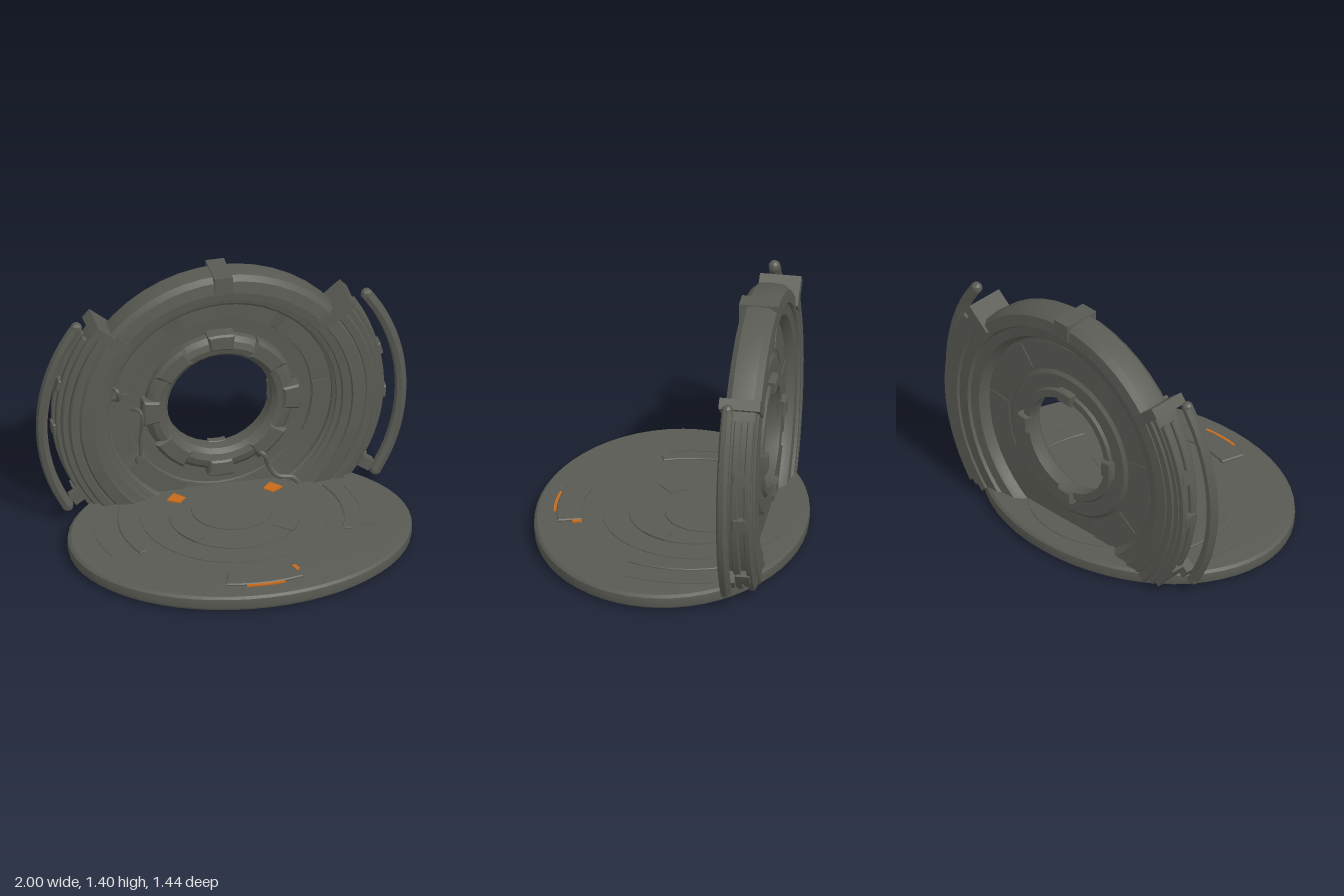
import * as THREE from 'three';
import { toCreasedNormals } from 'three/addons/utils/BufferGeometryUtils.js';

const CY = 0.6;      // height of the gate's centre
const RAD = Math.PI / 180;

export function createModel() {
  const model = new THREE.Group();
  const metal = new THREE.MeshStandardMaterial({ color: 0x5a5a54 });
  metal.name = 'dark metal';
  const orange = new THREE.MeshStandardMaterial({ color: 0xc56a1c });
  orange.name = 'orange paint';

  function add(name, geo, mat = metal, parent = model) {
    const mesh = new THREE.Mesh(toCreasedNormals(geo, 0.5), mat);
    mesh.name = name;
    parent.add(mesh);
    return mesh;
  }
  const lathe = (pts, seg) => new THREE.LatheGeometry(pts.map(p => new THREE.Vector2(...p)), seg);

  // ring of [radius, z] points around the gate axis, flattened where it meets the ground
  function gateRing(name, pts, seg) {
    const geo = lathe(pts, seg).rotateX(Math.PI / 2).translate(0, CY, 0);
    const p = geo.attributes.position;
    for (let i = 0; i < p.count; i++) p.setY(i, Math.max(0.01, p.getY(i)));
    return add(name, geo);
  }

  // curved slab in the xy plane, angles in degrees
  function arcSlab(r0, r1, a0, a1, z0, z1, bevel = 0) {
    const shape = new THREE.Shape();
    shape.absarc(0, 0, r1 - bevel, a0 * RAD, a1 * RAD, false);
    shape.absarc(0, 0, r0 + bevel, a1 * RAD, a0 * RAD, true);
    shape.closePath();
    return new THREE.ExtrudeGeometry(shape, {
      depth: z1 - z0 - 2 * bevel, curveSegments: Math.max(4, Math.ceil((a1 - a0) / 5)),
      bevelEnabled: bevel > 0, bevelSize: bevel, bevelThickness: bevel, bevelSegments: 1,
    }).translate(0, 0, z0 + bevel);
  }
  const gateArc = (name, ...a) => add(name, arcSlab(...a).translate(0, CY, 0));
  const floorArc = (name, mat, cz, ...a) =>
    add(name, arcSlab(...a).rotateX(-Math.PI / 2).translate(0, 0, cz), mat);

  function tube(name, pts, r) {
    const curve = new THREE.CatmullRomCurve3(pts.map(p => new THREE.Vector3(...p)));
    return add(name, new THREE.TubeGeometry(curve, 20, r, 7));
  }
  function box(name, w, h, d, x, y, z, turn = 0) {
    const m = add(name, new THREE.BoxGeometry(w, h, d));
    m.position.set(x, y, z);
    m.rotation.z = turn * RAD;
    return m;
  }

  // oval base
  add('base', lathe([[0, 0.004], [0.5, 0.004], [0.505, 0], [0.88, 0], [0.89, 0.018], [0.91, 0.022],
    [0.915, 0.05], [0.912, 0.075], [0.895, 0.087], [0.8, 0.09], [0, 0.09]], 56).scale(1, 1, 0.72 / 0.915));

  // stepped floor discs
  [[0.5, 0.094, -0.13], [0.35, 0.1, -0.12], [0.22, 0.106, -0.18]].forEach(([r, top, z], i) => {
    add('floorDisc' + (i + 1), new THREE.CylinderGeometry(r - 0.006, r, 0.06, 48).translate(0, top - 0.03, z));
  });
  for (const a of [0, 180]) {
    floorArc('floorRail', metal, -0.1, 0.57, 0.62, a - 23, a + 23, 0.08, 0.099, 0.004);
    floorArc('floorPlate', metal, -0.1, 0.66, 0.76, a - 18, a + 18, 0.08, 0.093);
  }
  for (const a of [-150, -30]) floorArc('floorSeamPlate', metal, -0.12, 0.23, 0.345, a - 12, a + 12, 0.09, 0.104);

  // front step and painted floor marks
  floorArc('frontStep', metal, -0.13, 0.605, 0.735, -106, -74, 0.08, 0.104, 0.006);
  floorArc('stepStripe', orange, -0.13, 0.735, 0.75, -98, -82, 0.092, 0.1);
  floorArc('stepCornerMark', orange, -0.13, 0.61, 0.66, -73.5, -71.5, 0.092, 0.1);
  for (const a of [42, 138]) floorArc('floorMark', orange, -0.12, 0.31, 0.385, a - 6, a + 6, 0.097, 0.105);

  // main gate: outer frame and recessed web with a round opening
  gateRing('gateFrame', [
    [0.62, -0.53], [0.635, -0.55], [0.69, -0.555], [0.7, -0.57], [0.765, -0.565], [0.79, -0.53],
    [0.795, -0.47], [0.79, -0.41], [0.765, -0.38], [0.7, -0.37], [0.695, -0.385], [0.65, -0.39],
    [0.645, -0.405], [0.62, -0.41], [0.605, -0.46], [0.605, -0.5], [0.62, -0.53]], 48);
  gateRing('gateWeb', [
    [0.28, -0.52], [0.41, -0.52], [0.43, -0.505], [0.62, -0.5], [0.62, -0.455], [0.5, -0.47],
    [0.495, -0.478], [0.41, -0.485], [0.28, -0.485], [0.28, -0.52]], 48);
  gateRing('innerTrim', [
    [0.6, -0.47], [0.625, -0.47], [0.625, -0.425], [0.615, -0.42], [0.6, -0.43], [0.6, -0.47]], 48);

  // padded collar around the opening
  gateRing('collar', [
    [0.28, -0.535], [0.32, -0.535], [0.335, -0.515], [0.405, -0.49], [0.4, -0.455], [0.375, -0.43],
    [0.34, -0.42], [0.305, -0.43], [0.283, -0.455], [0.278, -0.49], [0.28, -0.535]], 32);
  for (let a = 0; a < 360; a += 90) {
    gateArc('collarKeystone', 0.335, 0.425, a - 8.5, a + 8.5, -0.5, -0.405, 0.01);
    gateArc('collarBackClamp', 0.275, 0.345, a - 8, a + 8, -0.56, -0.51, 0.008);
    gateArc('collarSleeve', 0.3, 0.41, a + 32, a + 58, -0.5, -0.415, 0.018);
  }

  // raised panels on the web, front and back
  for (const [a0, a1] of [[-28, 6], [12, 52], [58, 112], [122, 160], [168, 208], [215, 250]]) {
    gateArc('webPanel', 0.5, 0.6, a0, a1, -0.48, -0.456);
    gateArc('webBackPanel', 0.45, 0.59, a0, a1, -0.51, -0.506);
  }

  // top block
  box('topBlock', 0.1, 0.1, 0.212, 0, 1.347, -0.47);

  for (const s of [1, -1]) {
    const arc = (name, r0, r1, a0, a1, ...z) =>
      s > 0 ? gateArc(name, r0, r1, a0, a1, ...z) : gateArc(name, r0, r1, 180 - a1, 180 - a0, ...z);
    // stacked side shells with grooves between
    arc('sideShellInner', 0.77, 0.825, -43, 39, -0.57, -0.385, 0.008);
    arc('sideShellMiddle', 0.815, 0.86, -40, 37, -0.56, -0.42, 0.008);
    arc('sideShellOuterBack', 0.85, 0.89, -38, 33, -0.555, -0.52, 0.006);
    arc('sideShellOuterFront', 0.85, 0.885, -38, 33, -0.49, -0.45, 0.006);
    for (const a of [-30, -4, 13]) arc('sideBracket', 0.84, 0.9, a - 1.8, a + 1.8, -0.54, -0.46, 0.006);

    // shoulder clamps
    box('shoulderClamp', 0.17, 0.06, 0.22, s * 0.63, CY + 0.505, -0.47, s * 40);
    box('shoulderLatch', 0.07, 0.05, 0.04, s * 0.555, CY + 0.47, -0.375, s * 40);

    // free-standing outer guard and its foot
    const pts = [];
    for (let a = -31; a <= 36; a += 6.7) {
      pts.push([s * 0.968 * Math.cos(a * RAD), CY + 0.968 * Math.sin(a * RAD), -0.42]);
    }
    tube('outerGuard', pts, 0.032);
    for (const [x, y, z] of [pts[0], pts[pts.length - 1]]) {
      add('guardCap', new THREE.SphereGeometry(0.033, 8, 6)).position.set(x, y, z);
    }
    box('guardFoot', 0.07, 0.06, 0.06, s * 0.775, 0.15, -0.43, s * -35);
  }

  // cables and small fittings on the web
  tube('leftCable', [[-0.47, 0.61, -0.47], [-0.44, 0.615, -0.43], [-0.425, 0.58, -0.42],
    [-0.43, 0.45, -0.44], [-0.425, 0.31, -0.45]], 0.011);
  add('cableSocket', new THREE.CylinderGeometry(0.03, 0.034, 0.05, 10).rotateX(Math.PI / 2)
    .translate(-0.425, 0.3, -0.455));
  tube('rightCable', [[0.19, 0.29, -0.44], [0.23, 0.27, -0.41], [0.255, 0.2, -0.42],
    [0.3, 0.14, -0.4], [0.38, 0.125, -0.39], [0.41, 0.09, -0.38]], 0.014);
  tube('wallHandle', [[-0.6, 0.78, -0.44], [-0.57, 0.775, -0.39], [-0.56, 0.72, -0.4], [-0.59, 0.7, -0.45]], 0.012);
  return model;
}
